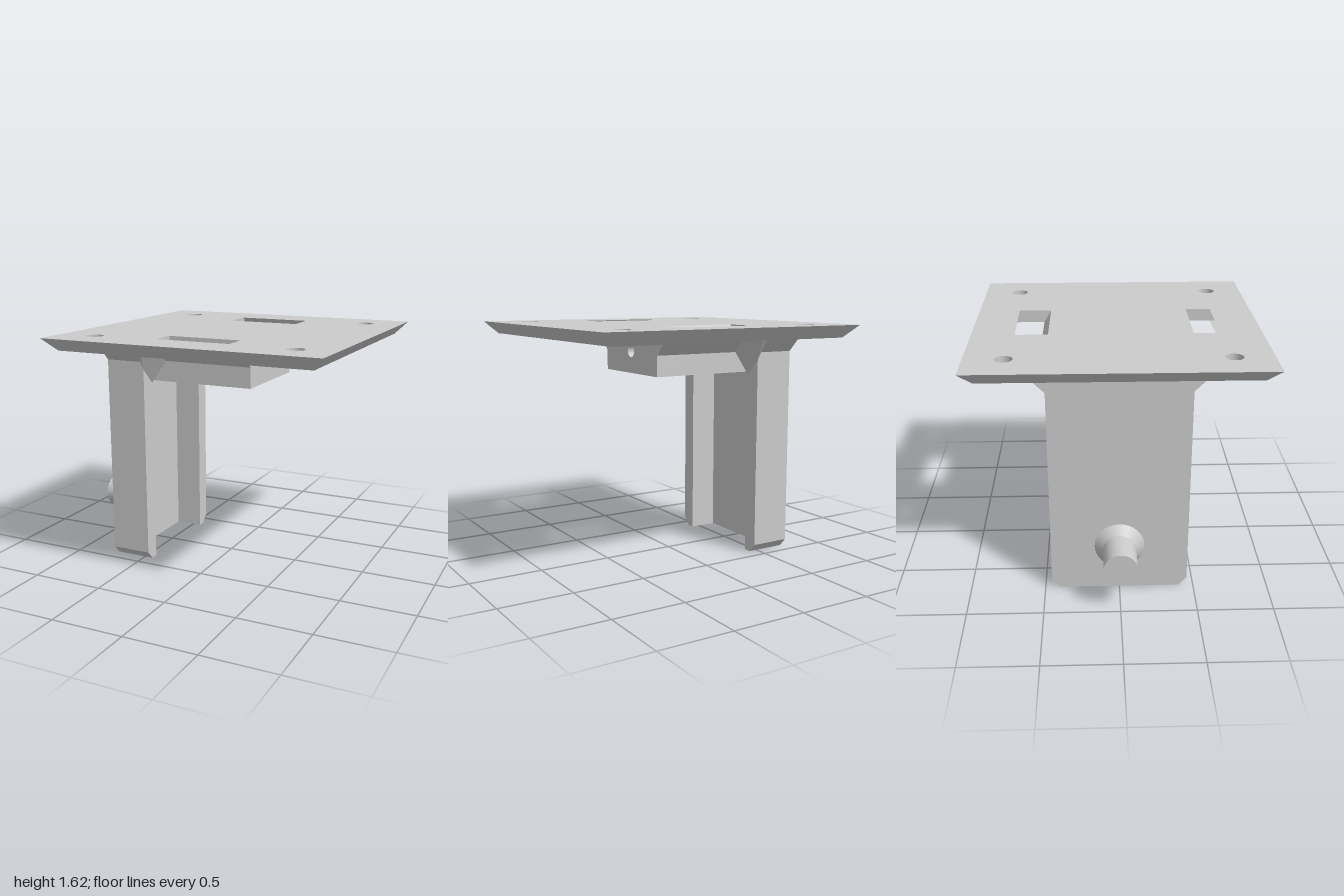
import * as THREE from 'three';
import { toCreasedNormals } from 'three/addons/utils/BufferGeometryUtils.js';
import { ConvexGeometry } from 'three/addons/geometries/ConvexGeometry.js';

const material = new THREE.MeshStandardMaterial({ color: 0xcccccc });
const TOP = 1.625, UNDER = 1.54;

function part(name, geometry) {
  const mesh = new THREE.Mesh(geometry, material);
  mesh.name = name;
  return mesh;
}

const outline = (points) => new THREE.Shape(points.map(([a, b]) => new THREE.Vector2(a, b)));

function circle(x, y, r) {
  return new THREE.Path().absarc(x, y, r, 0, Math.PI * 2, true);
}

// Extrude a (z, y) profile along x, from x0 to x1
function alongX(shape, x0, x1) {
  const g = new THREE.ExtrudeGeometry(shape, { depth: x1 - x0, bevelEnabled: false, curveSegments: 16 });
  g.rotateY(Math.PI / 2).translate(x0, 0, 0);
  return toCreasedNormals(g, 0.6);
}

// Symmetric profile from its right half, listed bottom to top
const symmetric = (half) => outline([...half, ...half.map(([a, b]) => [-a, b]).reverse()]);

function plate() {
  const shape = outline([[-0.9, -0.95], [1, -0.95], [1, 0.95], [-0.9, 0.95]]);
  for (const x of [-0.65, 0.745]) for (const z of [-0.7, 0.7]) shape.holes.push(circle(x, z, 0.057));
  for (const [z0, z1] of [[-0.67, -0.45], [0.5, 0.67]])
    shape.holes.push(outline([[-0.21, z0], [-0.21, z1], [0.3, z1], [0.3, z0]]));
  const g = new THREE.ExtrudeGeometry(shape, { depth: TOP - UNDER, bevelEnabled: false, curveSegments: 16 });
  g.rotateX(Math.PI / 2).translate(0, TOP, 0);

  // Slope the rim inward and the slot walls outward on the underside
  const p = g.attributes.position;
  for (let i = 0; i < p.count; i++) {
    if (p.getY(i) > TOP - 0.01) continue;
    const x = p.getX(i), z = p.getZ(i);
    if (Math.abs(z) > 0.94) {
      p.setX(i, x - 0.08 * Math.sign(x));
      p.setZ(i, z - 0.08 * Math.sign(z));
    } else if (x > -0.22 && x < 0.31) {
      if (Math.abs(Math.abs(z) - 0.67) < 0.001) p.setZ(i, z + 0.05 * Math.sign(z));
      if (Math.abs(z + 0.45) < 0.001) p.setZ(i, -0.5);
    }
  }
  return part('mountingPlate', toCreasedNormals(g, 0.6));
}

// Wedge that braces a flange against the plate and block
function gusset(s) {
  const points = [
    [-0.44, 1.27, 0.345], [-0.44, 1.38, 0.455], [-0.44, 1.43, 0.455], [-0.405, 1.43, 0.455],
    [-0.405, UNDER, 0.565], [-0.44, UNDER, 0.565], [-0.33, UNDER, 0.455], [-0.33, 1.43, 0.345],
    [-0.33, UNDER, 0.345], [-0.44, UNDER, 0.345],
  ].map(([x, y, z]) => new THREE.Vector3(x, y, z * s));
  return part('gusset', new ConvexGeometry(points));
}

export function createModel() {
  const model = new THREE.Group();
  model.name = 'bracket';
  model.add(plate());

  // Channel-shaped post, open towards +x
  const edge = [[0.4, 0], [0.455, 0.06], [0.455, 1.43], [0.565, UNDER]];
  model.add(part('postWeb', alongX(symmetric(edge), -0.72, -0.635)));
  for (const s of [-1, 1]) {
    const flange = [[0.345, 0], ...edge, [0.345, UNDER]].map(([z, y]) => [z * s, y]);
    model.add(part('postFlange', alongX(outline(flange), -0.635, -0.44)));
    model.add(gusset(s));
  }

  // Block under the plate, with a blind hole in its end
  const blockEdge = [[0.345, 1.29], [0.345, 1.43], [0.455, UNDER]];
  const drilled = symmetric(blockEdge);
  drilled.holes.push(circle(0, 1.44, 0.043));
  model.add(part('block', alongX(symmetric(blockEdge), -0.635, -0.1)));
  model.add(part('drilledBlockEnd', alongX(drilled, -0.1, 0.3)));

  // Peg with a flared foot
  const profile = [[0, 0], [0.165, 0], [0.11, 0.055], [0.11, 0.28], [0, 0.28]].map(([r, h]) => new THREE.Vector2(r, h));
  const peg = new THREE.LatheGeometry(profile, 32);
  peg.rotateZ(Math.PI / 2).translate(-0.72, 0.325, 0);
  model.add(part('peg', toCreasedNormals(peg, 0.6)));

  return model;
}
